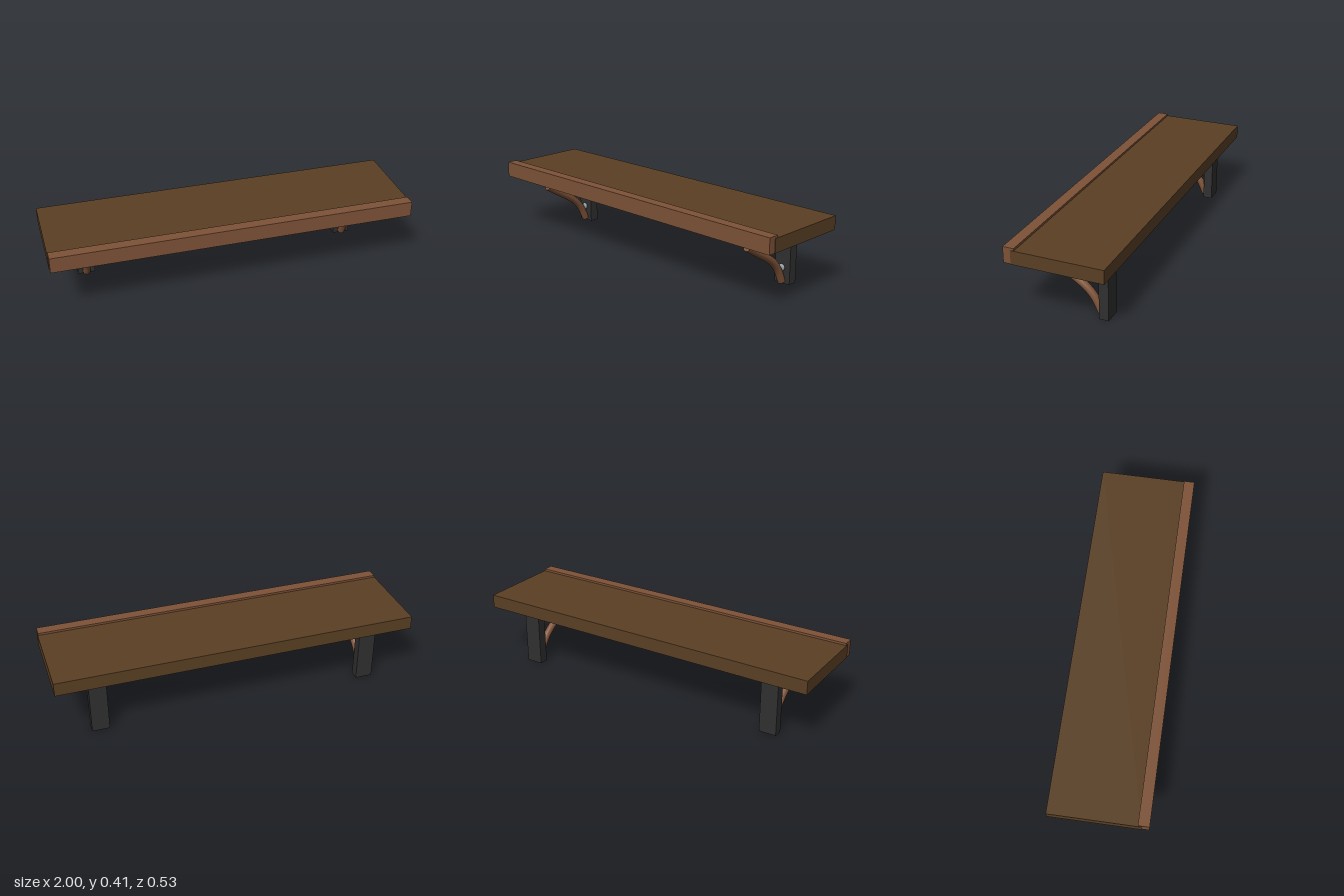
import * as THREE from 'three';

const mat = (name, color) => {
  const m = new THREE.MeshStandardMaterial({ color });
  m.name = name;
  return m;
};

export function createModel() {
  const model = new THREE.Group();
  model.name = 'wallShelf';
  const darkWood = mat('dark wood', 0x5a3f24);
  const warmWood = mat('warm wood', 0x7d5237);
  const iron = mat('black iron', 0x303030);
  const steel = mat('steel', 0x8e9a9c);

  const add = (parent, name, geometry, material, x = 0, y = 0, z = 0) => {
    const mesh = new THREE.Mesh(geometry, material);
    mesh.name = name;
    mesh.position.set(x, y, z);
    parent.add(mesh);
    return mesh;
  };

  // Shelf board and the raised lip along its front edge
  add(model, 'board', new THREE.BoxGeometry(2, 0.075, 0.491), darkWood, 0, 0.3575, -0.0205);
  add(model, 'frontLip', new THREE.BoxGeometry(1.994, 0.087, 0.06), warmWood, 0, 0.3635, 0.236);

  // Curved strut path, from the foot of the bracket forward and up
  const path = new THREE.CatmullRomCurve3([
    [0.0125, -0.144], [0.086, -0.108], [0.128, -0.074],
    [0.164, -0.029], [0.221, 0.065], [0.272, 0.15],
  ].map(([y, z]) => new THREE.Vector3(0, y, z)));
  const radius = 0.021;
  const strutGeometry = new THREE.TubeGeometry(path, 32, radius, 16, false);
  const capGeometry = new THREE.CircleGeometry(radius, 16);
  const forward = new THREE.Vector3(0, 0, 1);

  for (const side of [-1, 1]) {
    const bracket = new THREE.Group();
    bracket.name = side > 0 ? 'leftBracket' : 'rightBracket';
    bracket.position.x = side * 0.77;
    model.add(bracket);

    add(bracket, 'wallPlate', new THREE.BoxGeometry(0.096, 0.32, 0.052), iron, 0, 0.16, -0.175);
    add(bracket, 'strut', strutGeometry, warmWood);

    // Flat ends closing the strut
    for (const t of [0, 1]) {
      const p = path.getPointAt(t);
      const outward = path.getTangentAt(t).multiplyScalar(t ? 1 : -1);
      add(bracket, 'strutEnd', capGeometry, warmWood, p.x, p.y, p.z)
        .quaternion.setFromUnitVectors(forward, outward);
    }

    // Domed bolt head
    add(bracket, 'bolt', new THREE.SphereGeometry(0.02, 16, 12), steel, 0, 0.089, -0.141)
      .scale.z = 0.55;
  }
  return model;
}
